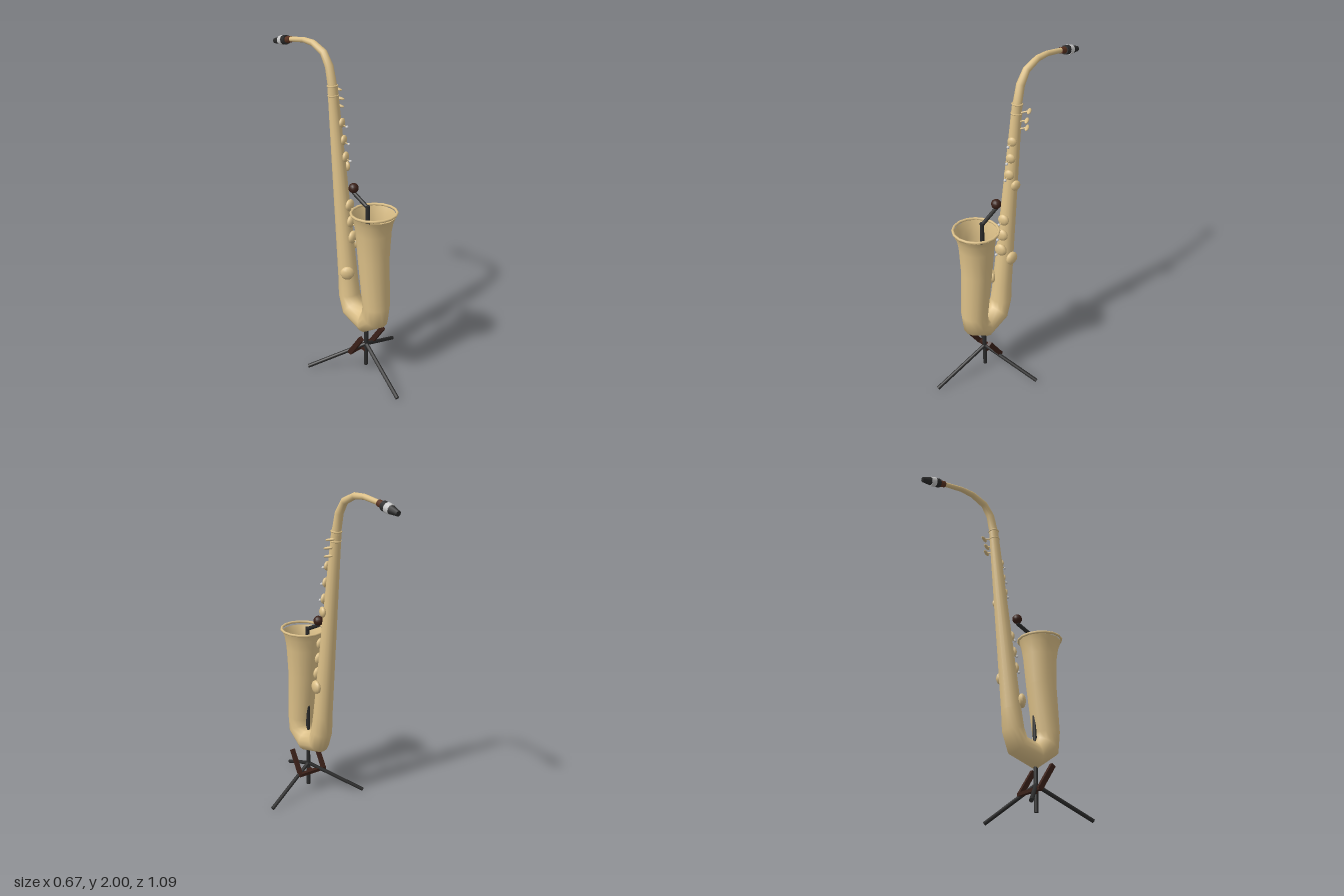
import * as THREE from 'three';

const mat = (color) => new THREE.MeshStandardMaterial({ color, side: THREE.DoubleSide });
const V = (x, y, z) => new THREE.Vector3(x, y, z);

// Round tube through rings [z, y, radius] lying in the x = 0 plane
function loft(rings, sides = 12) {
  const pos = [], index = [];
  rings.forEach(([z, y, r], i) => {
    const p = rings[Math.max(i - 1, 0)], n = rings[Math.min(i + 1, rings.length - 1)];
    const len = Math.hypot(n[0] - p[0], n[1] - p[1]);
    const tz = (n[0] - p[0]) / len, ty = (n[1] - p[1]) / len;
    for (let j = 0; j < sides; j++) {
      const a = (j / sides) * Math.PI * 2, c = Math.cos(a) * r;
      pos.push(Math.sin(a) * r, y - tz * c, z + ty * c);
      if (i < rings.length - 1) {
        const k = i * sides + j, l = i * sides + ((j + 1) % sides);
        index.push(k, l, k + sides, l, l + sides, k + sides);
      }
    }
  });
  const g = new THREE.BufferGeometry();
  g.setAttribute('position', new THREE.Float32BufferAttribute(pos, 3));
  g.setIndex(index);
  g.computeVertexNormals();
  return g;
}

export function createModel() {
  const brass = mat(0xdcc088), black = mat(0x2b2b2b), brown = mat(0x3a2018);
  const cork = mat(0x5a3220), silver = mat(0xcccccc);
  const model = new THREE.Group();
  model.name = 'saxophoneOnStand';

  // The instrument turns about the stand pole; local +z points to the bell
  const sax = new THREE.Group();
  sax.name = 'instrument';
  sax.position.set(0.07, 0, 0.19);
  sax.rotation.y = 0.5;
  const stand = new THREE.Group();
  stand.name = 'stand';
  stand.position.copy(sax.position);
  model.add(sax, stand);

  const add = (parent, name, geometry, material) => {
    const m = new THREE.Mesh(geometry, material);
    m.name = name;
    parent.add(m);
    return m;
  };
  const rod = (parent, name, a, b, ra, rb, material, sides = 10) => {
    const d = b.clone().sub(a);
    const m = add(parent, name, new THREE.CylinderGeometry(rb, ra, d.length(), sides), material);
    m.position.copy(a).addScaledVector(d, 0.5);
    m.quaternion.setFromUnitVectors(V(0, 1, 0), d.normalize());
    return m;
  };

  // Body, bow and bell in one sweep
  add(sax, 'bodyTube', loft([
    [-0.302, 1.765, 0.029], [-0.17, 0.6, 0.06], [-0.157, 0.48, 0.066], [-0.125, 0.395, 0.072],
    [0, 0.355, 0.075], [0.075, 0.42, 0.084], [0.083, 0.5, 0.083], [0.055, 0.8, 0.093],
    [0.05, 0.98, 0.105], [0.05, 1.05, 0.116], [0.051, 1.09, 0.13],
  ], 14), brass);
  const rim = add(sax, 'bellRim', new THREE.TorusGeometry(0.133, 0.008, 6, 16), brass);
  rim.position.set(0.051, 1.1, 0.051 * 1);
  rim.position.x = 0;
  rim.rotation.x = Math.PI / 2 - 0.04;

  // Neck with collars
  add(sax, 'neck', loft([
    [-0.302, 1.75, 0.028], [-0.304, 1.77, 0.027], [-0.328, 1.87, 0.025], [-0.376, 1.94, 0.022],
    [-0.467, 1.979, 0.019], [-0.551, 1.984, 0.016], [-0.7, 1.965, 0.014],
  ]), brass);
  for (const [y, z] of [[1.765, -0.302], [1.71, -0.296]]) {
    const c = add(sax, 'collar', new THREE.TorusGeometry(0.029, 0.005, 6, 14), brass);
    c.position.set(0, y, z);
    c.rotation.x = Math.PI / 2 - 0.1;
  }

  // Cork, mouthpiece and ligature along the end of the neck
  const start = V(0, 1.968, -0.672), end = V(0, 1.935, -0.828);
  const at = (t) => start.clone().lerp(end, t);
  rod(sax, 'neckCork', at(0), at(0.28), 0.019, 0.02, cork);
  rod(sax, 'mouthpieceShank', at(0.24), at(0.48), 0.027, 0.028, black);
  rod(sax, 'ligature', at(0.44), at(0.64), 0.03, 0.028, silver);
  rod(sax, 'mouthpieceTip', at(0.62), at(1), 0.025, 0.015, black);

  // Domed key cups: height, angle around the tube, cup radius, pearl touch
  const tube = (y) => {
    const t = (1.765 - y) / 1.165;
    return { z: -0.302 + t * 0.132, r: 0.029 + t * 0.031 };
  };
  const keys = [
    [1.56, 0.42, 0.028, true], [1.46, 0.42, 0.029, true], [1.36, 0.42, 0.031, true],
    [1.29, 1.35, 0.032, false], [1.07, 0.25, 0.036, true], [0.97, 0.25, 0.038, true],
    [0.87, 0.25, 0.04, true], [0.805, 1.5, 0.042, false], [0.65, -0.73, 0.043, false],
  ];
  for (const [y, angle, r, pearl] of keys) {
    const key = new THREE.Group(), t = tube(y);
    key.name = 'key';
    key.position.set(0, y, t.z);
    key.rotation.y = angle;
    sax.add(key);
    const cup = add(key, 'keyCup', new THREE.SphereGeometry(r, 12, 8), brass);
    cup.scale.z = 0.55;
    cup.position.z = t.r + 0.008;
    if (pearl) {
      rod(key, 'keyArm', V(0, -0.008, t.r), V(-0.012, -0.018, t.r + 0.042), 0.004, 0.004, brass, 6);
      const p = add(key, 'keyPearl', new THREE.SphereGeometry(0.009, 8, 6), silver);
      p.position.set(-0.012, -0.018, t.r + 0.044);
    }
  }

  // Palm keys near the top of the body
  for (const [y, z] of [[1.73, -0.331], [1.68, -0.311], [1.635, -0.314]]) {
    rod(sax, 'palmKeyStem', V(0.02, y - 0.012, tube(y).z), V(0.06, y, z), 0.005, 0.005, brass, 6);
    const p = add(sax, 'palmKey', new THREE.SphereGeometry(1, 10, 6), brass);
    p.scale.set(0.012, 0.008, 0.03);
    p.position.set(0.062, y, z);
    p.rotation.set(0.2, 0.5, 0);
  }

  // Stand pole, hook arm and ball
  rod(stand, 'pole', V(0, 0.03, 0), V(0, 1.125, 0), 0.013, 0.013, black);
  rod(sax, 'hookArm', V(0, 1.115, -0.005), V(0, 1.17, -0.122), 0.012, 0.012, black);
  const ball = add(sax, 'hookBall', new THREE.SphereGeometry(0.03, 12, 10), brown);
  ball.position.set(0, 1.198, -0.122);

  // Three spread legs
  for (let i = 0; i < 3; i++) {
    const a = 0.29 + (i * Math.PI * 2) / 3;
    rod(stand, 'leg', V(0, 0.185, 0), V(Math.sin(a) * 0.363, 0.013, Math.cos(a) * 0.363), 0.012, 0.012, black);
  }

  // Cradle: cross bar with two sloping arms
  const bar = add(sax, 'cradleBar', new THREE.BoxGeometry(0.2, 0.02, 0.025), brown);
  bar.position.set(0, 0.142, -0.045);
  const link = add(sax, 'cradleLink', new THREE.BoxGeometry(0.025, 0.02, 0.05), brown);
  link.position.set(0, 0.142, -0.022);
  for (const s of [-1, 1]) {
    const arm = add(sax, 'cradleArm', new THREE.BoxGeometry(0.022, 0.18, 0.03), brown);
    arm.position.set(s * 0.09, 0.212, 0.003);
    arm.rotation.x = 0.58;
  }
  return model;
}
